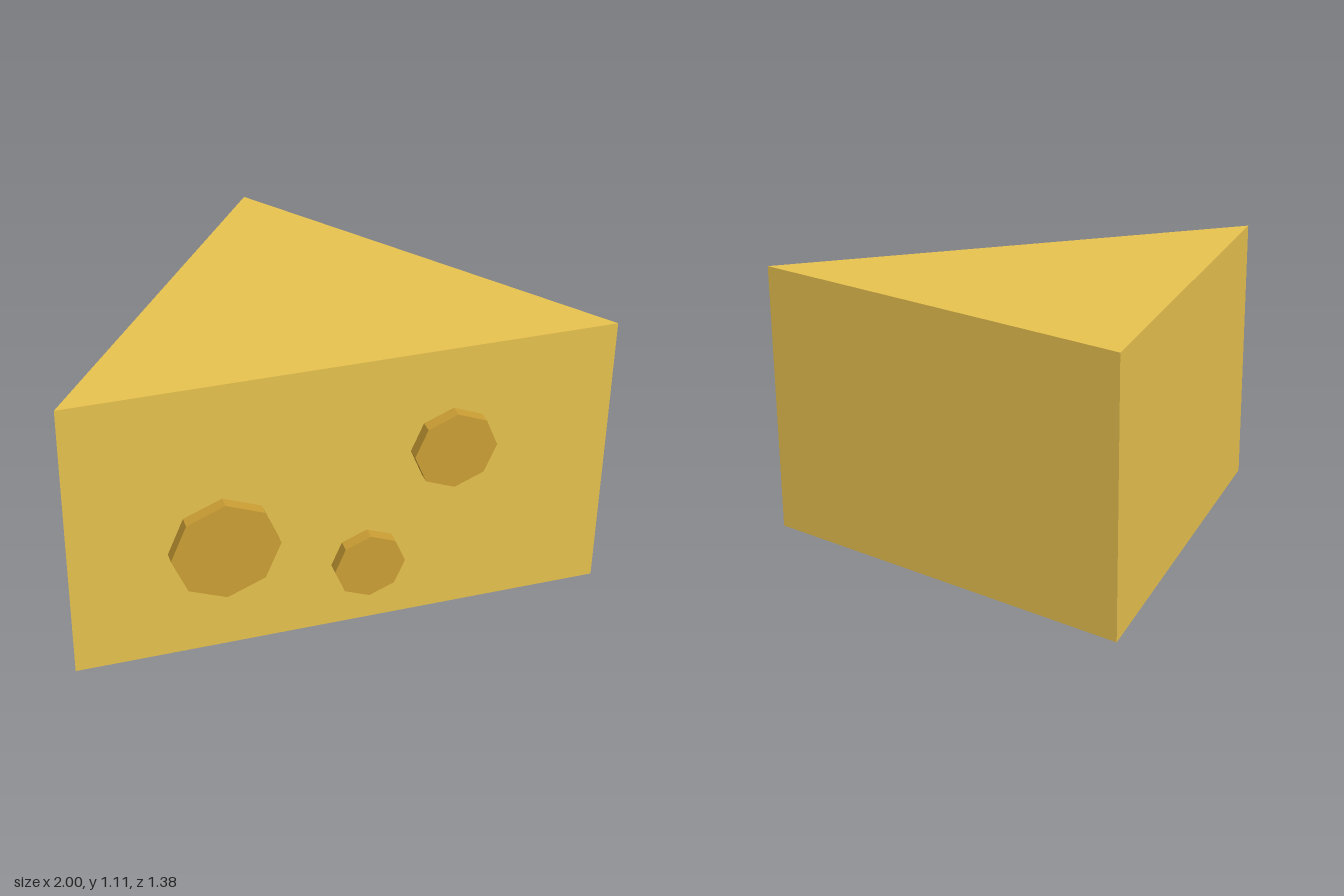
import * as THREE from 'three';

export function createModel() {
  const group = new THREE.Group();
  const cheese = new THREE.MeshStandardMaterial({ color: 0xe8c34f });
  cheese.name = 'cheese yellow';
  const hole = new THREE.MeshStandardMaterial({ color: 0xcc9f34 });
  hole.name = 'hole ochre';
  hole.flatShading = true;

  // Triangular wedge: wide face to the front, tip to the back
  const outline = new THREE.Shape([
    new THREE.Vector2(-1, -0.642),
    new THREE.Vector2(1, -0.642),
    new THREE.Vector2(0, 0.688),
  ]);
  const wedgeGeometry = new THREE.ExtrudeGeometry(outline, { depth: 1.11, bevelEnabled: false });
  wedgeGeometry.rotateX(-Math.PI / 2);
  const wedge = new THREE.Mesh(wedgeGeometry, cheese);
  wedge.name = 'wedge';
  group.add(wedge);

  // Octagonal discs on the front face: x, y, radius
  const holes = [
    [-0.445, 0.447, 0.2],
    [0.398, 0.713, 0.154],
    [0.088, 0.269, 0.133],
  ];
  holes.forEach(([x, y, radius], i) => {
    const geometry = new THREE.CylinderGeometry(radius, radius, 0.088, 8);
    geometry.rotateX(Math.PI / 2);
    const disc = new THREE.Mesh(geometry, hole);
    disc.name = `hole${i + 1}`;
    disc.position.set(x, y, 0.644);
    group.add(disc);
  });

  return group;
}
